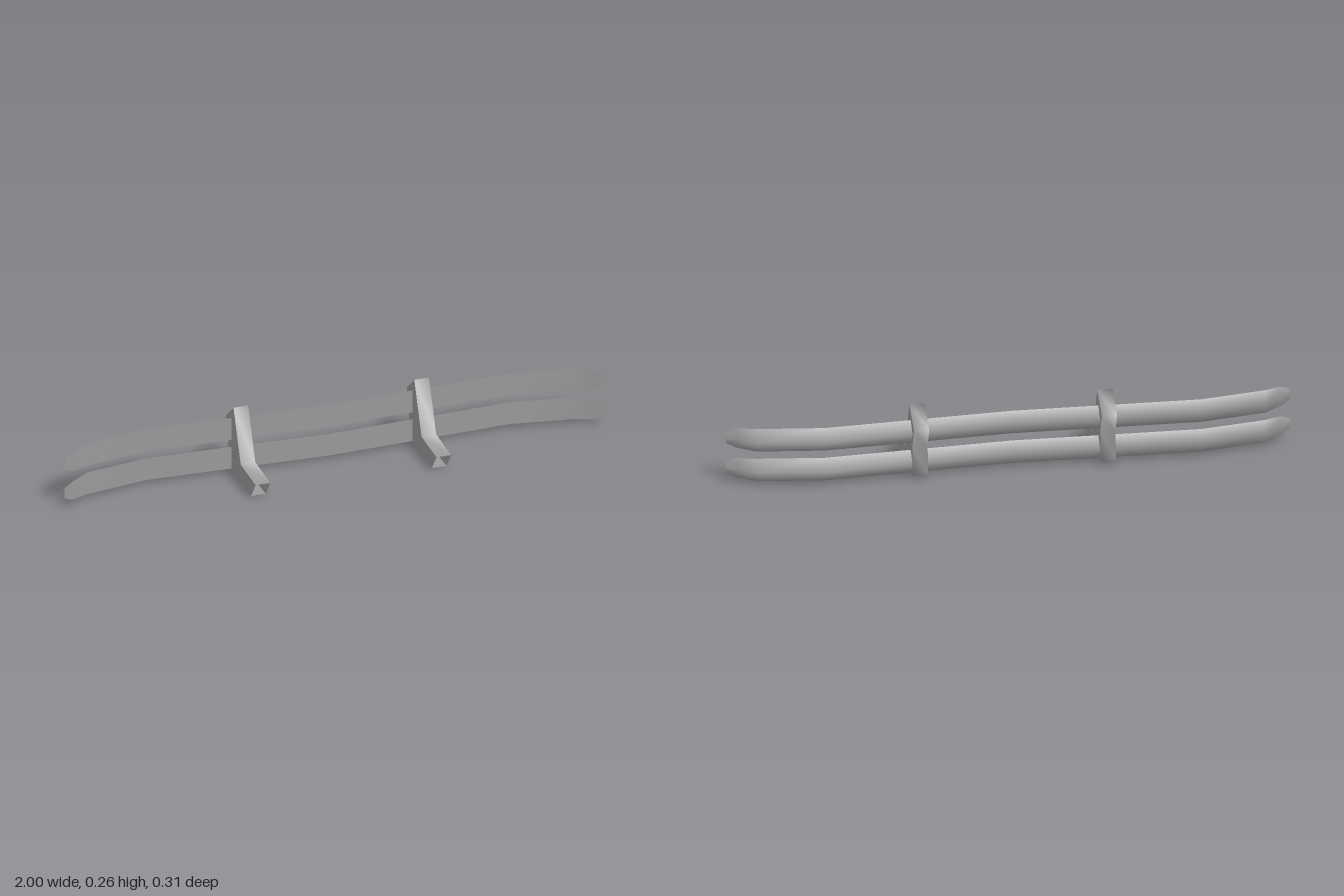
import * as THREE from 'three';
import { mergeGeometries } from 'three/addons/utils/BufferGeometryUtils.js';

const grey = new THREE.MeshStandardMaterial({ color: 0x999999, side: THREE.DoubleSide });

// Rail stations for one half: x, front z, back ridge z, half height
const half = [
  [0, -0.082, -0.114, 0.042],
  [0.667, -0.11, -0.148, 0.042],
  [0.9, -0.072, -0.104, 0.042],
  [0.965, -0.035, -0.056, 0.036],
  [1, -0.023, -0.028, 0.02],
];
const stations = [
  ...half.slice(1).reverse().map(([x, ...rest]) => [-x, ...rest]),
  ...half,
];

function indexed(points, index) {
  const g = new THREE.BufferGeometry();
  g.setAttribute('position', new THREE.Float32BufferAttribute(points.flat(), 3));
  g.setIndex(index);
  g.computeVertexNormals();
  return g;
}

// Joins equal open rows of points into one smooth strip
function strip(rows) {
  const n = rows[0].length;
  const index = [];
  for (let i = 0; i < rows.length - 1; i++) {
    for (let j = 0; j < n - 1; j++) {
      const a = i * n + j, b = a + n;
      index.push(a, a + 1, b, b, a + 1, b + 1);
    }
  }
  return indexed(rows.flat(), index);
}

// Rail: flat front, smooth ridged back, small triangle closing each tip
function railGeometry() {
  const front = strip(stations.map(([x, f, , h]) => [[x, h, f], [x, -h, f]]));
  const back = strip(stations.map(([x, f, b, h]) => [[x, -h, f], [x, 0, b], [x, h, f]]));
  const caps = [1, -1].map((s) => {
    const [x, f, b, h] = half[half.length - 1];
    return indexed([[s * x, -s * h, f], [s * x, 0, b], [s * x, s * h, f]], [0, 1, 2]);
  });
  return mergeGeometries([front, back, ...caps]);
}

// Bracket: smooth band around a side profile (z, y), open at the nose, flat sides
function bracketGeometry() {
  const w = 0.027;
  const profile = [
    [0.155, 0.063], [0, 0.072], [-0.075, 0.257], [-0.155, 0.19],
    [-0.127, 0.117], [-0.14, 0.017], [-0.08, 0], [0.108, 0],
  ];
  const band = strip(profile.map(([z, y]) => [[-w, y, z], [w, y, z]]));
  const triangles = THREE.ShapeUtils.triangulateShape(
    profile.map(([z, y]) => new THREE.Vector2(z, y)), []);
  const sides = [-w, w].map((x) => indexed(
    profile.map(([z, y]) => [x, y, z]),
    triangles.flatMap(([a, b, c]) => {
      const [p, q, r] = [a, b, c].map((i) => profile[i]);
      const turn = (q[0] - p[0]) * (r[1] - p[1]) - (q[1] - p[1]) * (r[0] - p[0]);
      return turn * x < 0 ? [a, b, c] : [a, c, b];
    })));
  return mergeGeometries([band, ...sides]);
}

export function createModel() {
  const model = new THREE.Group();
  model.name = 'doubleRailBumper';

  const railGeo = railGeometry();
  for (const [name, y] of [['lowerRail', 0.054], ['upperRail', 0.165]]) {
    const rail = new THREE.Mesh(railGeo, grey);
    rail.name = name;
    rail.position.y = y;
    model.add(rail);
  }

  const bracketGeo = bracketGeometry();
  for (const [name, x] of [['leftBracket', 0.333], ['rightBracket', -0.333]]) {
    const bracket = new THREE.Mesh(bracketGeo, grey);
    bracket.name = name;
    bracket.position.x = x;
    model.add(bracket);
  }
  return model;
}
